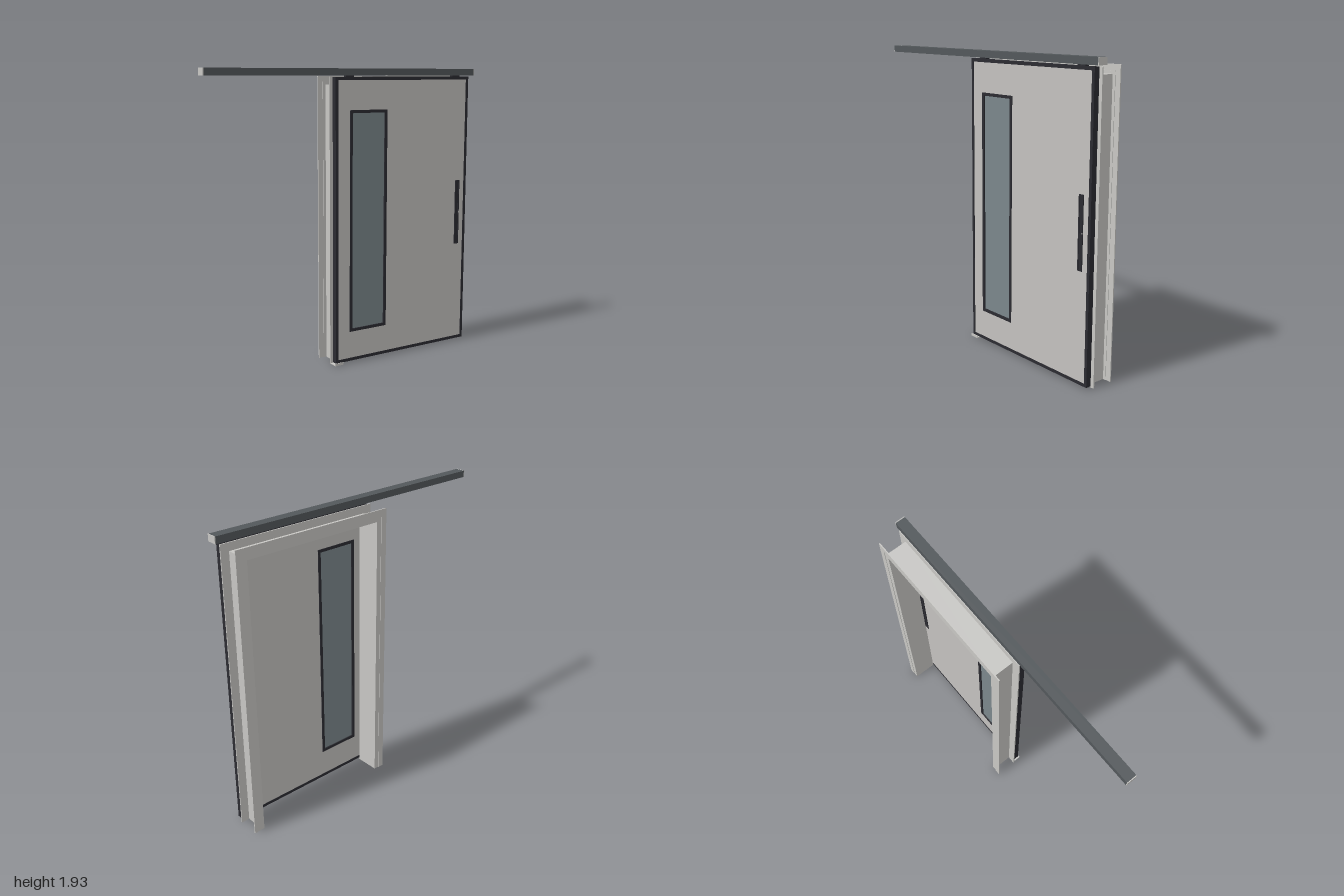
import * as THREE from 'three';

const mat = (name, color) => {
  const m = new THREE.MeshStandardMaterial({ color });
  m.name = name;
  return m;
};

export function createModel() {
  const group = new THREE.Group();
  const panelMat = mat('door panel grey', 0xc4c2bf);
  const frameMat = mat('frame grey', 0xc8c7c4);
  const trimMat = mat('dark trim', 0x2b2b31);
  const railMat = mat('rail grey', 0x53585b);
  const glassMat = mat('glass', 0x7b878b);

  const add = (name, geometry, material) => {
    const mesh = new THREE.Mesh(geometry, material);
    mesh.name = name;
    group.add(mesh);
    return mesh;
  };
  // Box given by its limits on each axis
  const box = (name, m, x0, x1, y0, y1, z0, z1) =>
    add(name, new THREE.BoxGeometry(x1 - x0, y1 - y0, z1 - z0), m)
      .position.set((x0 + x1) / 2, (y0 + y1) / 2, (z0 + z1) / 2);
  const polygon = pts => pts.map(p => new THREE.Vector2(...p));
  const rect = (x0, x1, y0, y1) => polygon([[x0, y0], [x1, y0], [x1, y1], [x0, y1]]);
  const extrude = (name, m, shape, z0, z1) => {
    const g = new THREE.ExtrudeGeometry(shape, { depth: z1 - z0, bevelEnabled: false });
    return add(name, g.translate(0, 0, z0), m);
  };
  // Closed rectangular border of width w
  const ring = (name, m, x0, x1, y0, y1, w, z0, z1) => {
    const s = new THREE.Shape(rect(x0, x1, y0, y1));
    s.holes.push(new THREE.Path(rect(x0 + w, x1 - w, y0 + w, y1 - w)));
    extrude(name, m, s, z0, z1);
  };
  // Doorway surround, open at the floor, width w
  const arch = (name, m, x0, x1, top, w, z0, z1) =>
    extrude(name, m, new THREE.Shape(polygon([
      [x0, 0], [x0 + w, 0], [x0 + w, top - w], [x1 - w, top - w],
      [x1 - w, 0], [x1, 0], [x1, top], [x0, top]])), z0, z1);

  // Wall frame: lining with stepped casings on both sides
  arch('frameLining', frameMat, -0.075, 0.917, 1.825, 0.018, -0.1, 0.045);
  arch('backCasingOuter', frameMat, -0.13, 0.972, 1.88, 0.04, -0.105, -0.098);
  arch('backCasingInner', frameMat, -0.094, 0.936, 1.844, 0.037, -0.102, -0.095);
  arch('frontCasingOuter', frameMat, -0.13, 0.972, 1.875, 0.04, 0.038, 0.045);
  arch('frontCasingInner', frameMat, -0.094, 0.936, 1.839, 0.037, 0.038, 0.056);

  // Sliding leaf: edge trim and a panel with the window cut through
  const [x0, x1, y0, y1] = [-0.115, 0.96, 0.014, 1.874];
  ring('leafEdgeTrim', trimMat, x0, x1, y0, y1, 0.02, 0.057, 0.093);
  const panel = new THREE.Shape(rect(x0 + 0.019, x1 - 0.019, y0 + 0.019, y1 - 0.019));
  panel.holes.push(new THREE.Path(rect(0.005, 0.265, 0.23, 1.65)));
  extrude('leafPanel', panelMat, panel, 0.059, 0.091);

  // Window
  ring('windowTrim', trimMat, -0.008, 0.28, 0.214, 1.666, 0.019, 0.055, 0.095);
  box('windowGlass', glassMat, 0.008, 0.264, 0.23, 1.65, 0.063, 0.087);

  // Flush pulls on both faces, each with a raised rim
  for (const [side, a, b, c] of [['front', 0.09, 0.093, 0.096], ['back', 0.06, 0.057, 0.054]]) {
    box(side + 'PullPlate', trimMat, 0.867, 0.899, 0.714, 1.16, Math.min(a, b), Math.max(a, b));
    ring(side + 'PullRim', trimMat, 0.865, 0.901, 0.712, 1.162, 0.008, Math.min(a, c), Math.max(a, c));
  }
  box('latchPin', frameMat, 0.893, 0.9, 0.932, 0.942, 0.09, 0.097);

  // Overhead rail with pale end caps, and the hangers below it
  box('rail', railMat, -0.995, 0.995, 1.883, 1.926, 0.04, 0.105);
  for (const s of [-1, 1])
    box('railEndCap', frameMat, s < 0 ? -1 : 0.995, s < 0 ? -0.995 : 1, 1.883, 1.926, 0.04, 0.105);
  for (const x of [-0.005, 0.855])
    box('hanger', trimMat, x - 0.03, x + 0.03, 1.87, 1.885, 0.062, 0.088);

  // Floor guide under the trailing corner
  box('floorGuide', frameMat, -0.125, -0.06, 0, 0.006, 0.045, 0.1);
  box('floorGuideLip', frameMat, -0.125, -0.06, 0.006, 0.016, 0.095, 0.1);

  return group;
}
